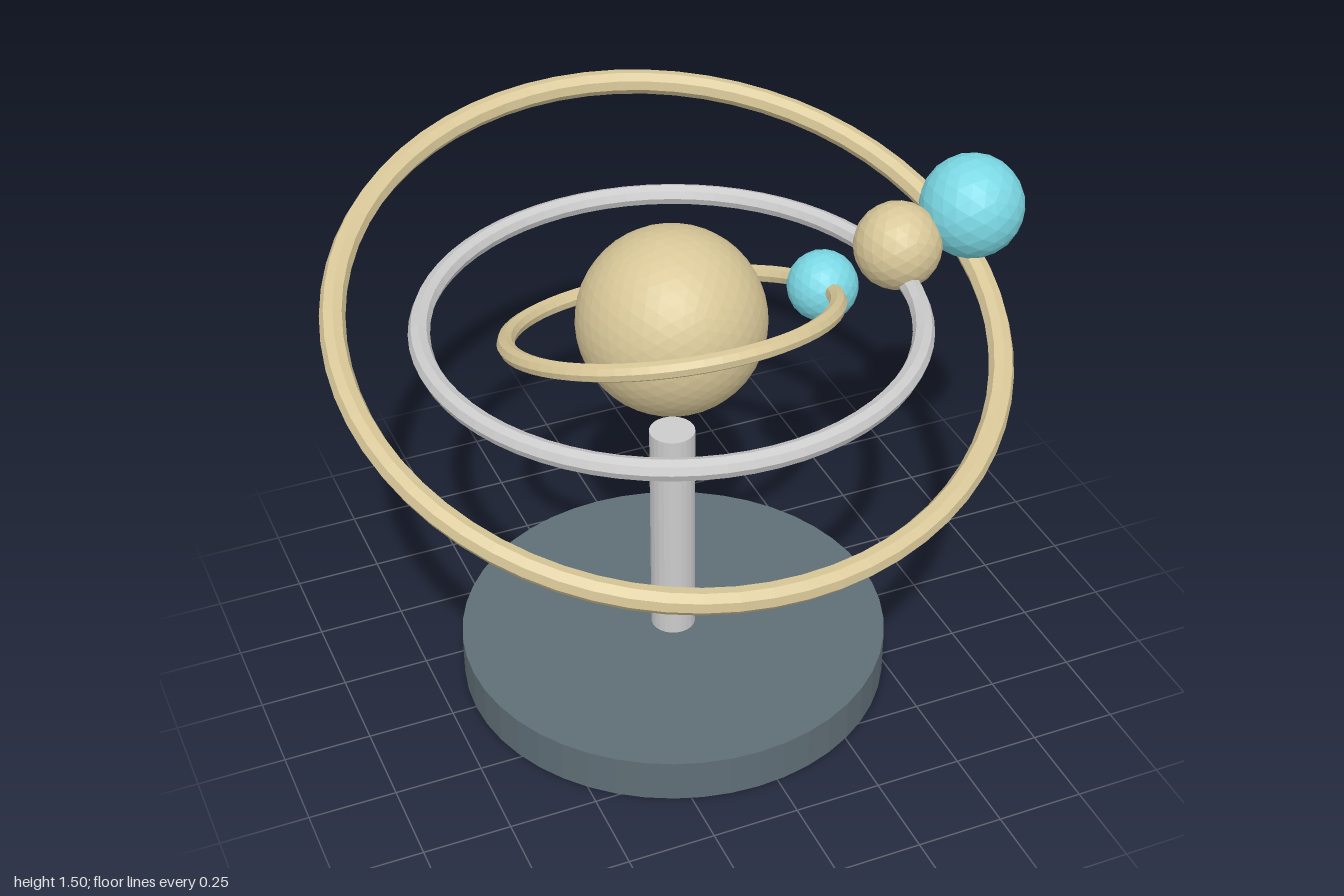
import * as THREE from 'three';

const material = (color) => new THREE.MeshStandardMaterial({ color, flatShading: true });

export function createModel() {
  const model = new THREE.Group();
  model.name = 'orrery';

  const sand = material(0xd8c798);
  const cyan = material(0x7bd8e4);
  const silver = material(0xcccccc);
  const slate = material(0x5f6e76);

  const axisX = -0.0575; // stand axis, offset so the whole is centred
  const hubY = 1.18;

  const add = (name, geometry, mat, x, y) => {
    const mesh = new THREE.Mesh(geometry, mat);
    mesh.name = name;
    mesh.position.set(axisX + x, y, 0);
    model.add(mesh);
    return mesh;
  };

  // Stand: round base and post, stopping short of the central sphere
  add('base', new THREE.CylinderGeometry(0.622, 0.622, 0.13, 48), slate, 0, 0.065);
  add('post', new THREE.CylinderGeometry(0.065, 0.065, 0.685, 24), silver, 0, 0.4725);

  // Central sphere
  add('sun', new THREE.IcosahedronGeometry(0.262, 7), sand, 0, hubY);

  // Orbit rings, each tilted about x, with one planet on its +x side
  const orbits = [
    { name: 'inner', radius: 0.452, tube: 0.025, tilt: -0.32, ring: sand, planet: cyan, size: 0.1 },
    { name: 'middle', radius: 0.68, tube: 0.03, tilt: 0, ring: silver, planet: sand, size: 0.125 },
    { name: 'outer', radius: 0.907, tube: 0.035, tilt: 0.32, ring: sand, planet: cyan, size: 0.148 },
  ];
  orbits.forEach((o, i) => {
    const torus = new THREE.TorusGeometry(o.radius, o.tube, 8, 64).rotateX(Math.PI / 2);
    add(o.name + 'Ring', torus, o.ring, 0, hubY).rotation.x = o.tilt;
    add(o.name + 'Planet', new THREE.IcosahedronGeometry(o.size, 3), o.planet, o.radius, hubY + i * 0.075);
  });

  return model;
}
